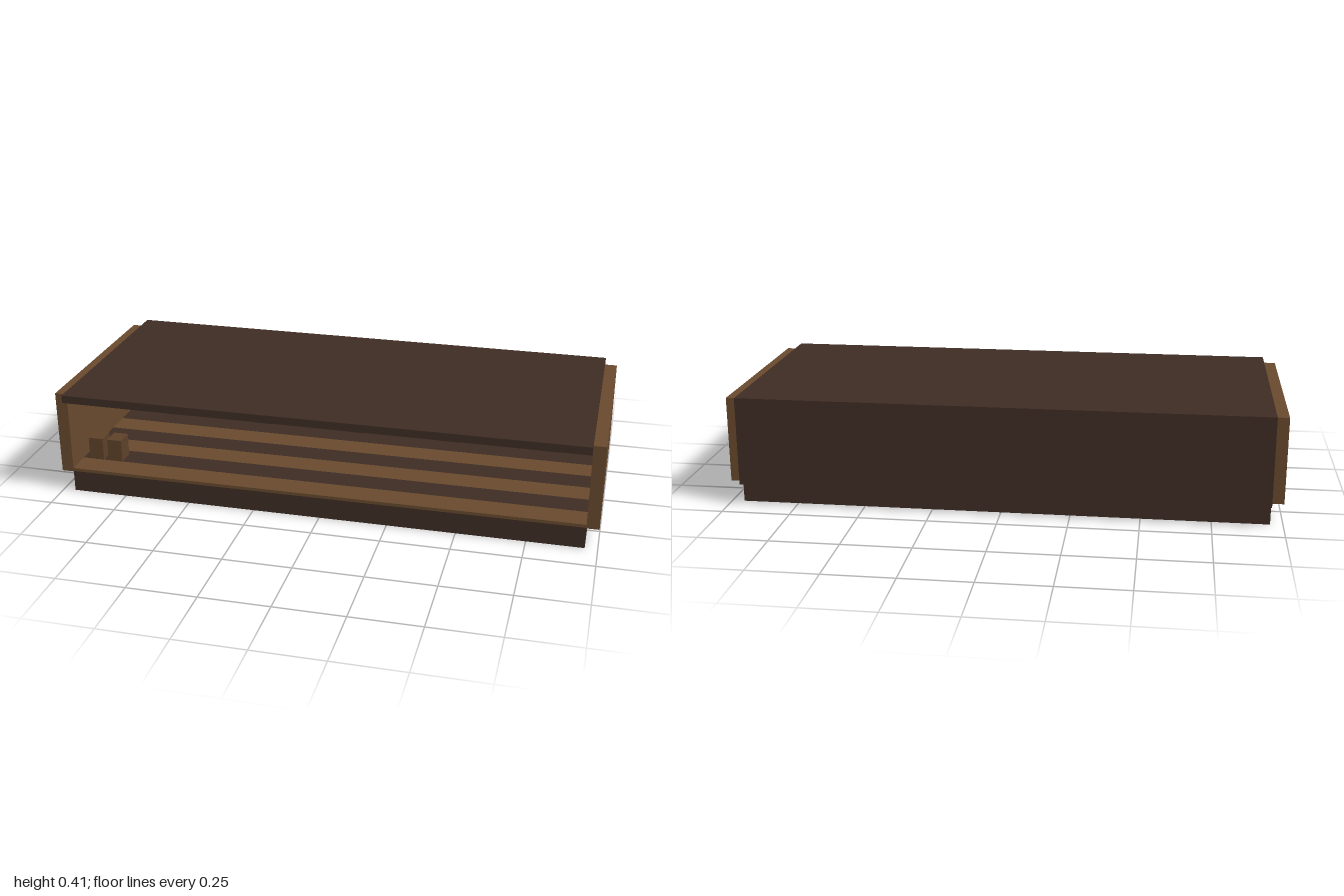
import * as THREE from 'three';

export function createModel() {
  const model = new THREE.Group();
  model.name = 'openFrontHall';

  const mat = (name, color) => {
    const m = new THREE.MeshStandardMaterial({ color });
    m.name = name;
    return m;
  };
  const dark = mat('darkWood', 0x3d2c23);
  const wood = mat('wood', 0x67492d);
  const crateWood = mat('crateWood', 0x5e4129);
  const glass = mat('paleGlass', 0xa8c8d0);
  const black = mat('blackIron', 0x1c1613);

  const add = (name, geo, material, x, y, z) => {
    const mesh = new THREE.Mesh(geo, material);
    mesh.name = name;
    mesh.position.set(x, y, z);
    model.add(mesh);
    return mesh;
  };
  // box given by its lower and upper limits on each axis
  const box = (name, material, [x0, x1], [y0, y1], [z0, z1]) =>
    add(name, new THREE.BoxGeometry(x1 - x0, y1 - y0, z1 - z0), material,
      (x0 + x1) / 2, (y0 + y1) / 2, (z0 + z1) / 2);

  const W = 0.955, D = 0.383;

  // shell: plinth, walls and flat roof
  box('plinth', dark, [-W, W], [0, 0.08], [-D, D]);
  box('backWall', dark, [-W, W], [0.078, 0.376], [-0.424, -D]);
  box('roof', dark, [-W, W], [0.376, 0.405], [-0.424, 0.424]);
  box('rightWall', wood, [-1, -W], [0.078, 0.393], [-D, D]);
  box('leftWall', wood, [W, 1], [0.078, 0.393], [-D, D]);

  // floor planks in alternating tones, light one at the front
  const planks = 8, pw = 2 * D / planks;
  for (let i = 0; i < planks; i++) {
    const z = D - i * pw;
    box('floorPlank', i % 2 ? dark : wood, [-W, W], [0.08, 0.092], [z - pw, z]);
  }

  // ceiling beams running front to back
  for (let i = -3; i <= 3; i++) {
    const x = i * 0.273;
    box('ceilingBeam', wood, [x - 0.014, x + 0.014], [0.355, 0.376], [-D, 0.36]);
  }

  // hanging lamps
  for (const x of [-0.637, 0, 0.637]) {
    add('lampCord', new THREE.CylinderGeometry(0.002, 0.002, 0.1, 6), black, x, 0.326, 0);
    add('lamp', new THREE.SphereGeometry(0.01, 12, 8), dark, x, 0.276, 0);
  }

  // window bays, each with a bench, side post and a round-topped stand
  for (let i = -2; i <= 2; i++) {
    const x = i * 0.383;
    box('windowPane', glass, [x - 0.051, x + 0.051], [0.178, 0.265], [-D, -D + 0.006]);
    box('bench', wood, [x - 0.042, x + 0.05], [0.105, 0.145], [-0.27, -0.17]);
    box('benchBase', dark, [x - 0.035, x + 0.043], [0.092, 0.105], [-0.26, -0.18]);
    box('benchPost', crateWood, [x + 0.054, x + 0.066], [0.092, 0.15], [-0.25, -0.19]);
    add('standPole', new THREE.CylinderGeometry(0.005, 0.008, 0.09, 8), dark, x, 0.137, -0.31);
    add('standKnob', new THREE.SphereGeometry(0.016, 14, 10), black, x, 0.192, -0.31);
  }

  // two crates near the front corner
  for (const x of [-0.9, -0.825])
    box('crate', crateWood, [x - 0.028, x + 0.028], [0.092, 0.178], [0.22, 0.288]);

  return model;
}
